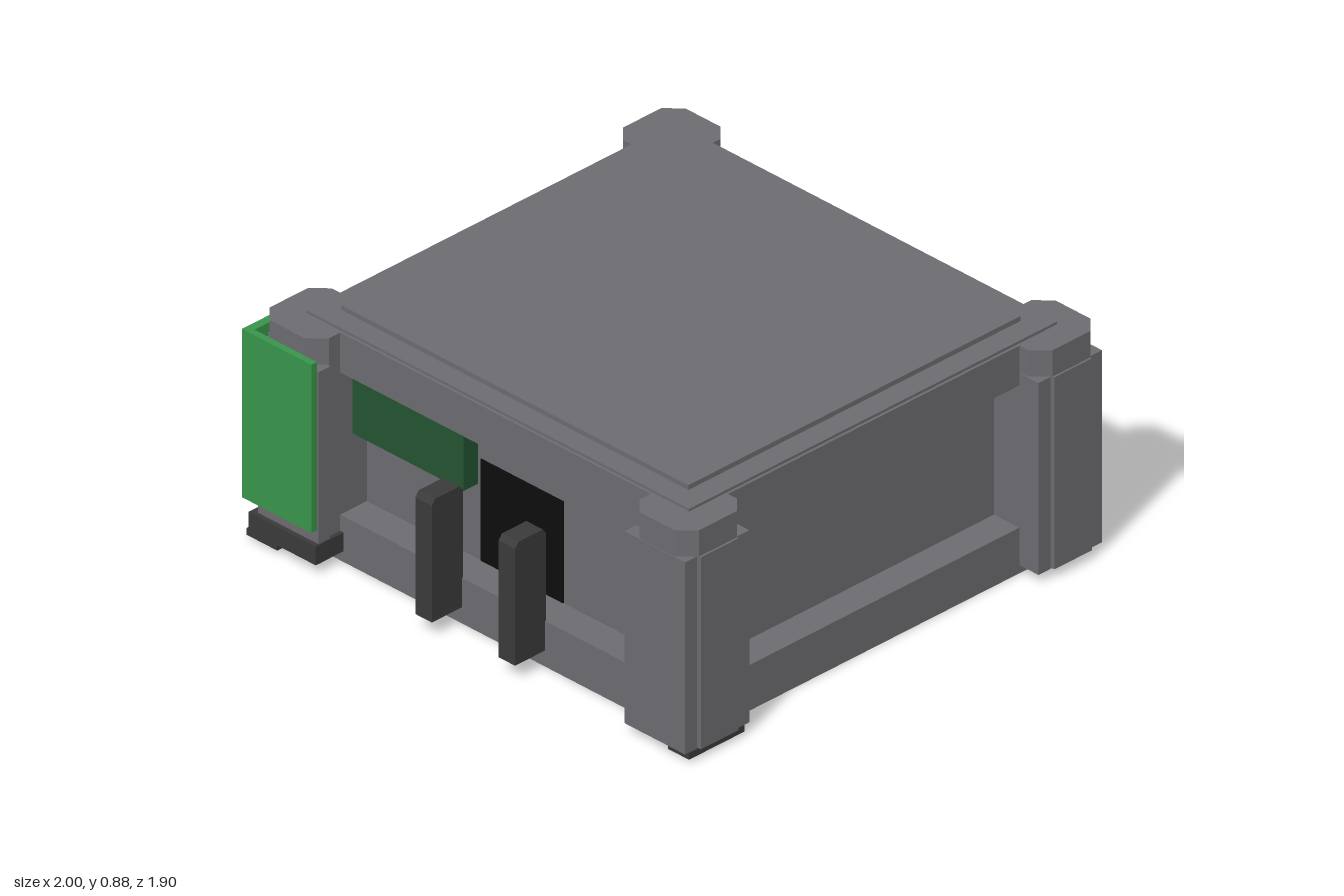
import * as THREE from 'three';

const mat = (name, color) => {
  const m = new THREE.MeshStandardMaterial({ color });
  m.name = name;
  return m;
};

export function createModel() {
  const gray = mat('crateGray', 0x6d6c71);
  const dark = mat('darkTrim', 0x3c3b3b);
  const green = mat('green', 0x38964c);
  const deepGreen = mat('deepGreen', 0x245431);
  const black = mat('black', 0x0d0d0d);

  const root = new THREE.Group();
  root.name = 'crate';

  // Box given by its extents on each axis
  const box = (name, m, x0, x1, y0, y1, z0, z1, parent = root) => {
    const mesh = new THREE.Mesh(new THREE.BoxGeometry(x1 - x0, y1 - y0, z1 - z0), m);
    mesh.position.set((x0 + x1) / 2, (y0 + y1) / 2, (z0 + z1) / 2);
    mesh.name = name;
    parent.add(mesh);
    return mesh;
  };

  // Body: lower rail, recessed core, upper rail and stepped lid
  box('lowerRail', gray, -0.865, 0.895, 0, 0.17, -0.855, 0.815);
  box('recessedCore', gray, -0.75, 0.78, 0.17, 0.70, -0.74, 0.695);
  box('upperRail', gray, -0.865, 0.895, 0.70, 0.848, -0.855, 0.815);
  box('lidRim', gray, -0.855, 0.885, 0.848, 0.858, -0.85, 0.805);
  box('lidPanel', gray, -0.775, 0.80, 0.858, 0.876, -0.77, 0.725);

  // Dark strip along the foot of the right-hand side
  box('sideSkirt', dark, -0.872, -0.865, 0.01, 0.155, -0.66, 0.63);
  box('backSkirt', dark, -0.68, 0.71, 0.005, 0.025, -0.859, -0.855);

  // Extruded footprint, with corners cut by c, standing from y0 to y1
  const octagon = (w, d, c, y0, y1) => {
    const a = w / 2, b = d / 2;
    const shape = new THREE.Shape([
      [-a + c, -b], [a - c, -b], [a, -b + c], [a, b - c],
      [a - c, b], [-a + c, b], [-a, b - c], [-a, -b + c],
    ].map(([x, y]) => new THREE.Vector2(x, y)));
    const g = new THREE.ExtrudeGeometry(shape, { depth: y1 - y0, bevelEnabled: false });
    return g.rotateX(-Math.PI / 2).translate(0, y0, 0);
  };

  // Corner posts: chamfered column clad in plates up to the cap
  const posts = [
    ['frontLeftPost', 0.855, 0.78, 1, 1],
    ['frontRightPost', -0.825, 0.78, -1, 1],
    ['backLeftPost', 0.855, -0.81, 1, -1],
    ['backRightPost', -0.825, -0.81, -1, -1],
  ];
  for (const [name, cx, cz, sx, sz] of posts) {
    const post = new THREE.Group();
    post.name = name;
    post.position.set(cx, 0, cz);
    const column = new THREE.Mesh(octagon(0.27, 0.28, 0.055, 0.035, 0.848), gray);
    column.name = 'column';
    post.add(column);
    // Extents measured outward from the post centre
    const part = (n, x0, x1, y0, y1, z0, z1) => box(n, gray,
      Math.min(sx * x0, sx * x1), Math.max(sx * x0, sx * x1), y0, y1,
      Math.min(sz * z0, sz * z1), Math.max(sz * z0, sz * z1), post);
    part('facePlate', -0.145, 0.13, 0.035, 0.75, 0.09, 0.143);
    part('sidePlate', 0.09, 0.143, 0.035, 0.75, -0.085, 0.085);
    part('innerStrip', 0.05, 0.132, 0.035, 0.75, -0.145, -0.09);
    root.add(post);
  }

  // Green cover and dark foot on one front corner
  box('coverFront', green, -1.0, -0.685, 0.16, 0.787, 0.925, 0.95);
  box('coverSide', green, -1.0, -0.968, 0.16, 0.787, 0.64, 0.925);
  box('cornerFoot', dark, -0.98, -0.675, 0.04, 0.11, 0.64, 0.94);
  box('footPlate', dark, -1.0, -0.86, 0.012, 0.036, 0.66, 0.93);
  box('smallFoot', dark, 0.895, 0.99, 0.012, 0.036, 0.66, 0.91);

  // Panels set in the front recess
  box('signPanel', deepGreen, -0.69, -0.185, 0.45, 0.70, 0.69, 0.76);
  box('doorPanel', black, -0.17, 0.205, 0.172, 0.55, 0.69, 0.70);

  // Upright bars flanking the door, chamfered at the top
  for (const [name, x] of [['rightBar', -0.175], ['leftBar', 0.203]]) {
    const s = new THREE.Shape([
      [0.81, 0.06], [0.95, 0.06], [0.95, 0.495], [0.935, 0.515], [0.825, 0.515], [0.81, 0.495],
    ].map(([z, y]) => new THREE.Vector2(-z, y)).reverse());
    const g = new THREE.ExtrudeGeometry(s, { depth: 0.075, bevelEnabled: false });
    g.translate(0, 0, -0.0375).rotateY(Math.PI / 2);
    const bar = new THREE.Mesh(g, dark);
    bar.position.x = x;
    bar.name = name;
    root.add(bar);
  }

  return root;
}
